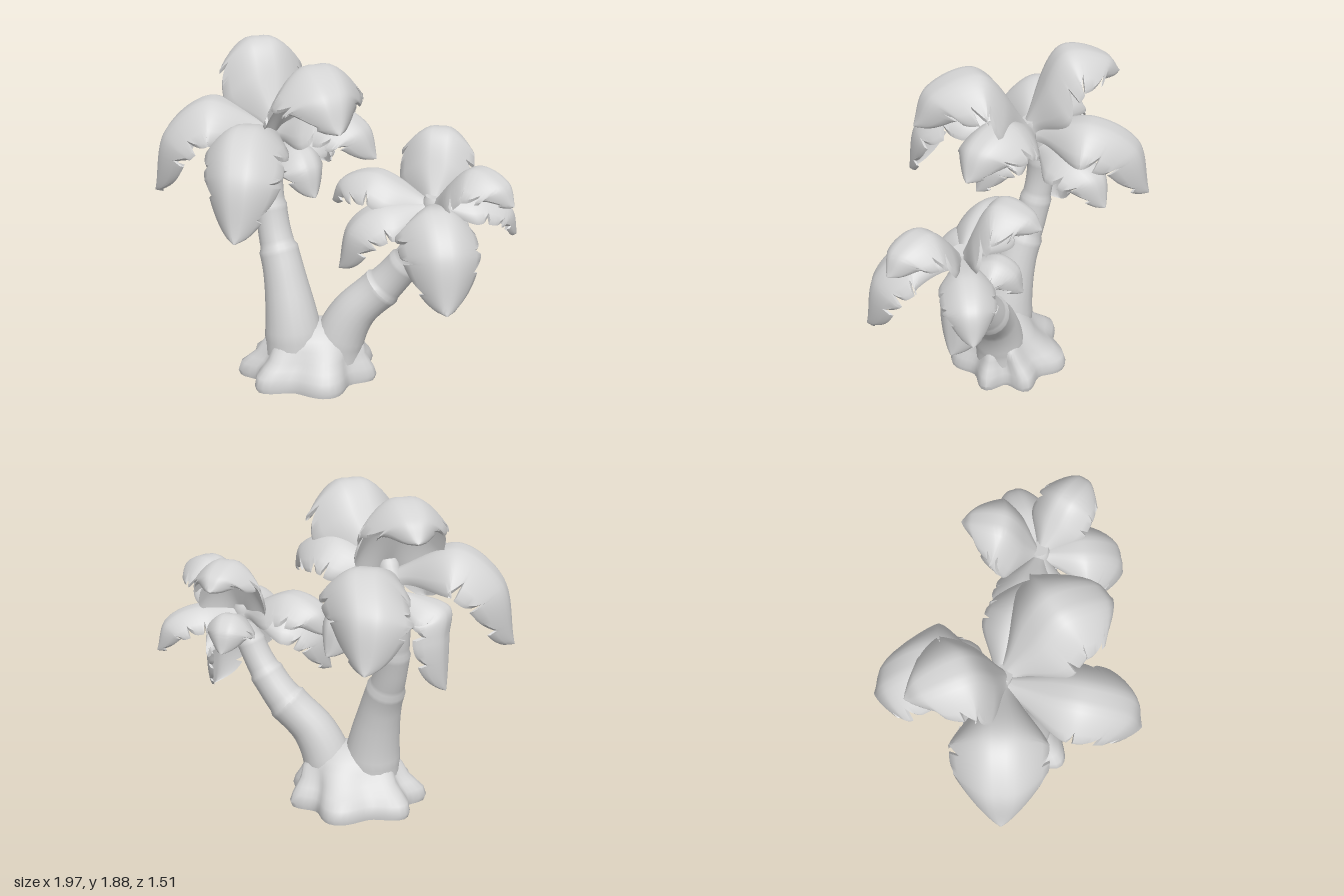
import * as THREE from 'three';
import { toCreasedNormals } from 'three/addons/utils/BufferGeometryUtils.js';

const V = (x, y, z) => new THREE.Vector3(x, y, z);

// Closed skin over a row of equally sized rings, capped at both ends
function loft(rings, crease) {
  const n = rings[0].length, pos = [], idx = [];
  const centre = (r) => r.reduce((s, p) => s.add(p), V(0, 0, 0)).divideScalar(n);
  const last = rings.length - 1;
  [...rings.flat(), centre(rings[0]), centre(rings[last])].forEach((p) => pos.push(p.x, p.y, p.z));
  const c0 = rings.length * n, c1 = c0 + 1;
  for (let j = 0; j < n; j++) {
    const k = (j + 1) % n;
    for (let i = 0; i < last; i++) {
      const a = i * n + j, b = i * n + k;
      idx.push(a, a + n, b, b, a + n, b + n);
    }
    idx.push(c0, j, k, c1, last * n + k, last * n + j);
  }
  const g = new THREE.BufferGeometry();
  g.setAttribute('position', new THREE.Float32BufferAttribute(pos, 3));
  g.setIndex(idx);
  return toCreasedNormals(g, crease);
}

// Curved trunk whose sections flare slightly into overlapping collars
function trunkGeometry(points, radii, collars) {
  const curve = new THREE.CatmullRomCurve3(points.map((p) => V(...p)));
  const steps = 60, sides = 20, frames = curve.computeFrenetFrames(steps, false);
  const rings = [];
  for (let i = 0; i <= steps; i++) {
    const t = i / steps, f = t * (radii.length - 1), k = Math.min(Math.floor(f), radii.length - 2);
    const saw = t < 0.35 ? 0 : (t * collars) % 1;
    const r = THREE.MathUtils.lerp(radii[k], radii[k + 1], f - k) * (0.97 + 0.14 * saw ** 3);
    const c = curve.getPointAt(t), ring = [];
    for (let j = 0; j < sides; j++) {
      const a = (j / sides) * Math.PI * 2;
      ring.push(c.clone()
        .addScaledVector(frames.normals[i], r * Math.cos(a))
        .addScaledVector(frames.binormals[i], -r * Math.sin(a)));
    }
    rings.push(ring);
  }
  return loft(rings, 0.7);
}

// Thick cupped leaf: rises from base to apex, rounds over a shoulder and hangs to the tip;
// its edges droop and are notched
function leafGeometry(base, apex, tip, width, seed) {
  const b = V(...base), m = V(...apex), e = V(...tip);
  const shoulder = m.clone().lerp(e, 0.78);
  shoulder.y = THREE.MathUtils.lerp(m.y, e.y, 0.34);
  const curve = new THREE.CatmullRomCurve3([b, m, shoulder, e]);
  const side = e.clone().sub(b).setY(0).normalize().cross(V(0, 1, 0));
  const steps = 60, across = 14, rings = [];
  for (let i = 0; i <= steps; i++) {
    const t = i / steps, c = curve.getPointAt(t), tangent = curve.getTangentAt(t);
    const up = side.clone().cross(tangent).normalize();
    up.lerp(V(0, 1, 0), 0.6 * Math.max(0, tangent.y)).normalize();
    const s = Math.max(0, (t - 0.5) / 0.5);
    const w = (width / 2) * (0.25 + 0.75 * THREE.MathUtils.smoothstep(t, 0, 0.32))
      * Math.max(0.03, (1 - s ** 2.6) ** 0.62);
    const thick = 0.028 * (1 - 0.5 * s);
    const point = (u, lower) => {
      const saw = t < 0.35 ? 0 : (t * 5 + seed * 0.37 + (u > 0 ? 0.45 : 0)) % 1;
      const v = u * (1 - 0.24 * saw ** 5 * u ** 4);
      const drop = w * (0.75 * v * v + 0.05 * Math.exp(-v * v * 30)) + (lower ? thick : 0);
      return c.clone().addScaledVector(side, v * w).addScaledVector(up, -drop);
    };
    const ring = [];
    for (let j = 0; j <= across; j++) ring.push(point(1 - (2 * j) / across, false));
    for (let j = 0; j <= across; j++) ring.push(point(-1 + (2 * j) / across, true));
    rings.push(ring);
  }
  return loft(rings, 0.75);
}

// Shared foot with rounded root lobes: [y, centre x, centre z, radius x, radius z, lobe depth]
function rootsGeometry() {
  const levels = [
    [0, -0.15, 0.02, 0.35, 0.31, 0.12], [0.03, -0.15, 0.02, 0.36, 0.315, 0.12],
    [0.08, -0.15, 0.02, 0.345, 0.3, 0.12], [0.12, -0.14, 0.03, 0.315, 0.26, 0.11],
    [0.16, -0.13, 0.04, 0.29, 0.22, 0.09], [0.22, -0.12, 0.05, 0.275, 0.18, 0.06],
    [0.27, -0.12, 0.05, 0.24, 0.145, 0.03], [0.32, -0.11, 0.05, 0.16, 0.09, 0],
    [0.34, -0.1, 0.05, 0.06, 0.04, 0],
  ];
  const sides = 70;
  return loft(levels.map(([y, cx, cz, rx, rz, lobe]) => {
    const ring = [];
    for (let j = 0; j < sides; j++) {
      const a = (j / sides) * Math.PI * 2;
      const k = 1 + lobe * Math.cos(7 * a + 0.9 * Math.sin(2 * a) + 2.9);
      ring.push(V(cx + rx * k * Math.cos(a), y, cz + rz * k * Math.sin(a)));
    }
    return ring;
  }), 0.9);
}

// Each leaf: [base, apex, tip, width]
const tallBase = [-0.32, 1.43, -0.1], shortBase = [0.5, 1.09, 0.24];
const tallLeaves = [
  [[-0.3, 1.46, -0.06], [-0.36, 1.88, -0.26], [-0.44, 1.72, -0.58], 0.47],
  [[-0.28, 1.46, -0.08], [-0.12, 1.85, 0.18], [-0.02, 1.56, 0.52], 0.52],
  [tallBase, [-0.66, 1.6, -0.16], [-0.98, 1.06, -0.2], 0.5],
  [tallBase, [-0.49, 1.55, 0.29], [-0.56, 1.04, 0.62], 0.42],
  [tallBase, [-0.17, 1.55, -0.43], [-0.18, 1.1, -0.76], 0.46],
  [tallBase, [-0.04, 1.59, 0.05], [0.2, 1.34, 0.23], 0.4],
  [[-0.33, 1.34, -0.13], [-0.62, 1.26, -0.22], [-0.62, 0.82, -0.28], 0.3],
  [[-0.32, 1.34, -0.14], [-0.12, 1.36, -0.34], [0.01, 1.1, -0.51], 0.32],
  [[-0.32, 1.34, -0.12], [-0.18, 1.37, 0.07], [-0.12, 1.12, 0.2], 0.28],
];
const shortLeaves = [
  [shortBase, [0.55, 1.44, 0.06], [0.64, 1.32, -0.17], 0.4],
  [shortBase, [0.68, 1.34, 0.4], [0.86, 1.17, 0.57], 0.34],
  [shortBase, [0.48, 1.14, 0.5], [0.5, 0.66, 0.75], 0.42],
  [shortBase, [0.22, 1.24, 0.1], [-0.01, 1.03, -0.02], 0.34],
  [shortBase, [0.2, 1.09, 0.23], [0.0, 0.73, 0.23], 0.36],
  [shortBase, [0.77, 1.12, 0.19], [0.99, 0.86, 0.15], 0.28],
  [[0.51, 1.02, 0.17], [0.68, 0.97, 0.24], [0.7, 0.6, 0.29], 0.32],
  [[0.5, 1.04, 0.24], [0.57, 1.12, 0.05], [0.6, 0.93, -0.08], 0.28],
];

export function createModel() {
  const model = new THREE.Group();
  model.name = 'palmTrees';
  const grey = new THREE.MeshStandardMaterial({ color: 0xd4d4d4 });
  grey.name = 'plainGrey';
  const add = (parent, geometry, name) => {
    const mesh = new THREE.Mesh(geometry, grey);
    mesh.name = name;
    parent.add(mesh);
  };

  add(model, rootsGeometry(), 'roots');
  add(model, trunkGeometry(
    [[-0.23, 0.02, 0.05], [-0.24, 0.3, 0.04], [-0.28, 0.6, -0.02], [-0.33, 0.85, -0.1],
      [-0.35, 1.1, -0.15], [-0.33, 1.32, -0.15], [-0.3, 1.48, -0.08]],
    [0.17, 0.165, 0.13, 0.1, 0.083, 0.075, 0.05], 6), 'tallTrunk');
  add(model, trunkGeometry(
    [[0.0, 0.04, 0.06], [0.02, 0.22, 0.07], [0.1, 0.4, 0.09], [0.28, 0.59, 0.13],
      [0.42, 0.8, 0.2], [0.49, 0.98, 0.24], [0.51, 1.12, 0.24]],
    [0.15, 0.145, 0.125, 0.11, 0.09, 0.075, 0.05], 6), 'shortTrunk');

  // Crowns
  [['tallCrown', tallLeaves], ['shortCrown', shortLeaves]].forEach(([name, leaves]) => {
    const crown = new THREE.Group();
    crown.name = name;
    leaves.forEach((leaf, i) => add(crown, leafGeometry(...leaf, i + 1), `${name}Leaf${i + 1}`));
    model.add(crown);
  });
  return model;
}
